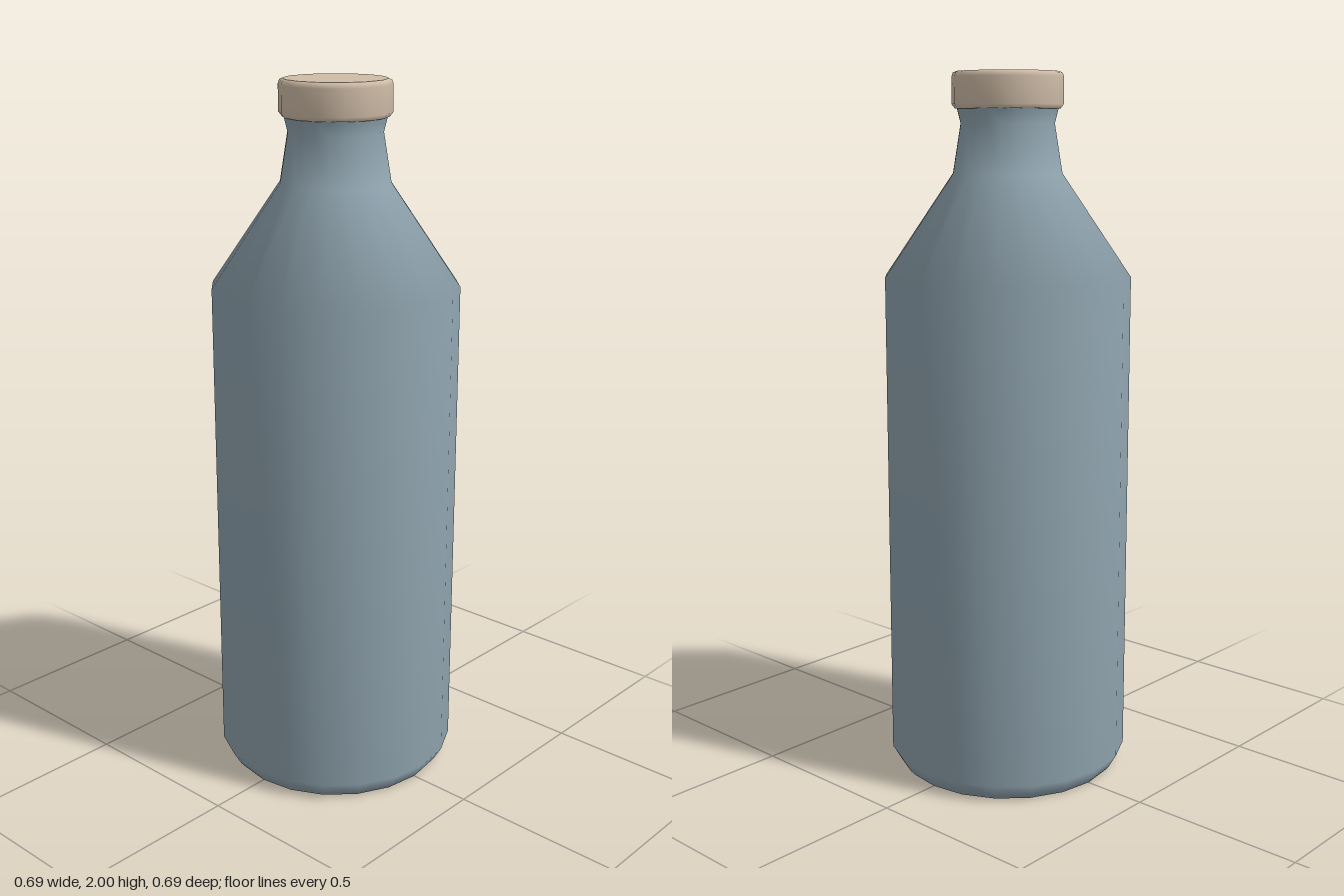
import * as THREE from 'three';

// Revolves [radius, height] points, listed from the bottom up
function turned(name, profile, sides, material) {
  const points = profile.map(([r, y]) => new THREE.Vector2(r, y));
  const mesh = new THREE.Mesh(new THREE.LatheGeometry(points, sides), material);
  mesh.name = name;
  return mesh;
}

export function createModel() {
  const glass = new THREE.MeshStandardMaterial({ color: 0x8da1ac });
  glass.name = 'blue grey glass';
  const cork = new THREE.MeshStandardMaterial({ color: 0xcfbca7 });
  cork.name = 'beige cap';

  const model = new THREE.Group();
  model.name = 'bottle';

  // Bottle: chamfered foot, straight body, sloping shoulder, flared lip
  const bottle = new THREE.Group();
  bottle.name = 'glassBottle';
  bottle.add(
    turned('base', [[0, 0], [0.315, 0]], 20, glass),
    turned('body', [
      [0.315, 0], [0.325, 0.012], [0.347, 0.05], [0.347, 1.44],
      [0.153, 1.725], [0.131, 1.86], [0.142, 1.905],
    ], 20, glass),
  );

  // Cap: softened rim with flat ends, kept separate for crisp edges
  const cap = new THREE.Group();
  cap.name = 'cap';
  cap.add(
    turned('capUnderside', [[0, 1.9], [0.146, 1.9]], 14, cork),
    turned('capRim', [
      [0.146, 1.9], [0.155, 1.912], [0.155, 1.985], [0.151, 1.996], [0.143, 2],
    ], 14, cork),
    turned('capTop', [[0.143, 2], [0, 2]], 14, cork),
  );

  model.add(bottle, cap);
  return model;
}
